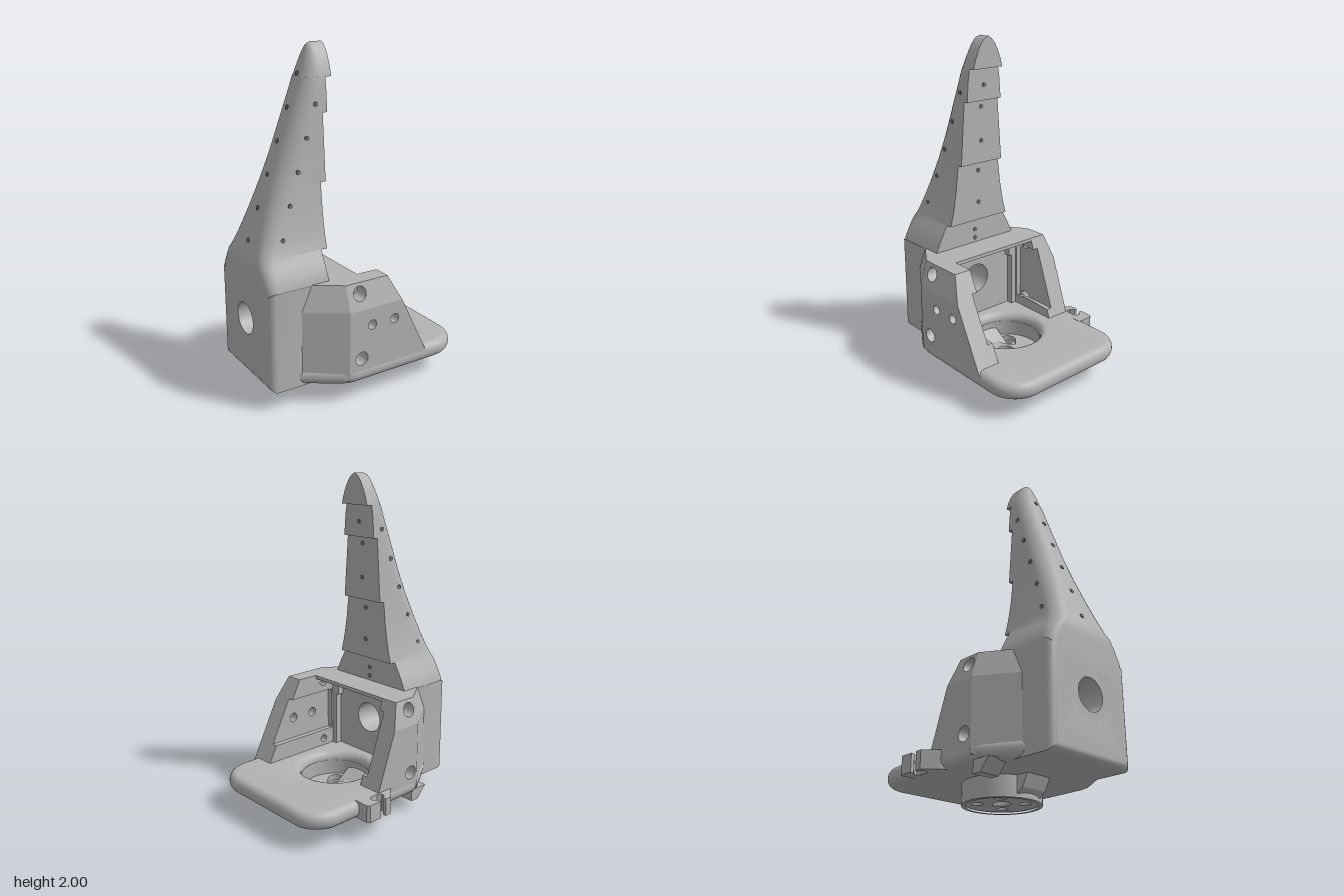
import * as THREE from 'three';
import { toCreasedNormals } from 'three/addons/utils/BufferGeometryUtils.js';

const ZC = 0.035; // the part is symmetric about this z
const plastic = new THREE.MeshStandardMaterial({ color: 0xb2b2b2 });
plastic.name = 'grey plastic';
const bore = new THREE.MeshStandardMaterial({ color: 0x6c6c6c });
bore.name = 'dark bore';

const poly = (pts) => new THREE.Shape(pts.map((p) => new THREE.Vector2(p[0], p[1])));
const circle = (x, y, r, n = 32) => {
  const pts = [];
  for (let i = 0; i < n; i++) {
    const a = (i / n) * Math.PI * 2;
    pts.push(new THREE.Vector2(x + r * Math.cos(a), y + r * Math.sin(a)));
  }
  return new THREE.Path(pts);
};
// circle with a pointed end toward +x
const teardrop = (x, y, r) => {
  const pts = [new THREE.Vector2(x + r * 1.42, y)];
  for (let i = 0; i <= 16; i++) {
    const a = Math.PI / 4 + (i / 16) * Math.PI * 1.5;
    pts.push(new THREE.Vector2(x + r * Math.cos(a), y + r * Math.sin(a)));
  }
  return new THREE.Path(pts);
};
const withHoles = (shape, holes) => { shape.holes.push(...holes); return shape; };
const lerpTable = (t, y) => {
  for (let i = 1; i < t.length; i++) {
    const [a, b] = [t[i - 1], t[i]];
    if (y <= b[0]) return a[1] + ((b[1] - a[1]) * Math.max(0, y - a[0])) / (b[0] - a[0]);
  }
  return t[t.length - 1][1];
};

// Finger: half width, back line and stepped front line by height
const widths = [[0.6, 0.3], [0.72, 0.3], [0.8, 0.262], [0.88, 0.217], [0.94, 0.2], [1.0, 0.187], [1.1, 0.17],
  [1.25, 0.153], [1.63, 0.125], [1.75, 0.116], [1.82, 0.106], [1.87, 0.092], [1.92, 0.072], [1.96, 0.05], [1.985, 0.028], [2, 0.004]];
const backs = [[0.6, -0.62], [0.84, -0.62], [1.94, -0.22], [1.975, -0.205], [1.99, -0.195], [2, -0.175]];
const fronts = [[0.88, -0.242], [1.25, -0.204], [1.63, -0.172], [1.82, -0.143], [2.01, -0.105]];
const halfWidth = (y) => lerpTable(widths, y);
const backX = (y) => lerpTable(backs, y);
const frontX = (y) => fronts.find((f) => y < f[0])[1];

function fingerGeometry() {
  const rows = [];
  const ys = [...new Set([...widths, ...backs].map((p) => p[0]).concat([1.4, 1.5]))].sort((a, b) => a - b);
  for (const y of ys) {
    if (fronts.some((f) => f[0] === y)) rows.push([y, frontX(y - 0.01)]);
    rows.push([y, frontX(y)]);
  }
  const pos = [], idx = [], N = 7, count = 2 * N + 4;
  for (const [y, xf] of rows) {
    const w = halfWidth(y), xb = backX(y);
    const r = Math.min(0.06 + Math.max(0, y - 0.72) * 0.1, w * 0.85, (xf - xb) * 0.7);
    pos.push(xf, y, ZC + w);
    for (const s of [1, -1]) {
      for (let i = 0; i <= N; i++) {
        const a = ((s > 0 ? i : N - i) / N) * Math.PI / 2;
        pos.push(xb + r - r * Math.sin(a), y, ZC + s * (w - r + r * Math.cos(a)));
      }
    }
    pos.push(xf, y, ZC - w);
  }
  for (let i = 0; i < rows.length - 1; i++) {
    for (let j = 0; j < count; j++) {
      const a = i * count + j, b = i * count + ((j + 1) % count);
      idx.push(a, a + count, b, b, a + count, b + count);
    }
  }
  const top = (rows.length - 1) * count;
  for (let j = 1; j < count - 1; j++) idx.push(top, top + j + 1, top + j);
  const g = new THREE.BufferGeometry();
  g.setAttribute('position', new THREE.Float32BufferAttribute(pos, 3));
  g.setIndex(idx);
  return toCreasedNormals(g, 0.55);
}

export function createModel() {
  const group = new THREE.Group();
  const add = (name, geo, mat = plastic) => {
    const m = new THREE.Mesh(geo, mat);
    m.name = name;
    group.add(m);
    return m;
  };
  const extrude = (shape, depth, opts = {}) =>
    new THREE.ExtrudeGeometry(shape, { depth, bevelEnabled: false, curveSegments: 12, ...opts });
  // plan shapes use v = -z and rise from y0
  const upright = (shape, y0, h, opts) => extrude(shape, h, opts).rotateX(-Math.PI / 2).translate(0, y0, 0);

  add('finger', fingerGeometry());

  // Finger base block with a cable hole running front to back
  const blockShape = (r, top) => withHoles(
    poly([[-0.337, 0.12], [0.267, 0.12], [0.267, top], [-0.337, top]]), [circle(-0.035, 0.47, r)]);
  const block = extrude(blockShape(0.095, 0.715), 0.26,
    { bevelEnabled: true, bevelSize: 0.045, bevelThickness: 0.045, bevelOffset: -0.045, bevelSegments: 5 });
  add('fingerBase', toCreasedNormals(block.rotateY(Math.PI / 2).translate(-0.575, 0, 0), 0.5));
  add('fingerBaseFront', extrude(blockShape(0.095, 0.72), 0.1).rotateY(Math.PI / 2).translate(-0.34, 0, 0));
  const liner = [[0.15, 0], [0.095, 0], [0.095, 0.375], [0.15, 0.375], [0.15, 0]].map((p) => new THREE.Vector2(...p));
  add('cableHoleLiner', toCreasedNormals(new THREE.LatheGeometry(liner.reverse(), 32), 0.5)
    .rotateZ(-Math.PI / 2).translate(-0.62, 0.47, ZC)).material = plastic;
  const lid = add('cavityLid', new THREE.BoxGeometry(0.245, 0.022, 0.62));
  lid.position.set(-0.1775, 0.709, ZC);

  // Rounded base plate
  const plan = new THREE.Shape();
  plan.moveTo(-0.44, 0.265);
  plan.lineTo(-0.44, -0.335);
  plan.lineTo(-0.24, -0.465);
  plan.quadraticCurveTo(-0.2, -0.49, -0.14, -0.49);
  plan.lineTo(0.43, -0.49);
  plan.absarc(0.43, -0.3, 0.19, -Math.PI / 2, 0, false);
  plan.lineTo(0.62, 0.24);
  plan.absarc(0.44, 0.24, 0.18, 0, Math.PI / 2, false);
  plan.lineTo(-0.14, 0.42);
  plan.quadraticCurveTo(-0.2, 0.42, -0.24, 0.395);
  plan.holes.push(circle(0.05, -ZC, 0.212, 40));
  add('basePlate', toCreasedNormals(upright(plan, 0.17, 0.005,
    { bevelEnabled: true, bevelSize: 0.045, bevelThickness: 0.05, bevelOffset: -0.045, bevelSegments: 6 }), 0.6));

  // Round socket below the plate, with a drilled floor
  const cup = [[0.2, 0], [0.225, 0], [0.225, 0.121], [0.268, 0.121], [0.255, 0.17], [0.21, 0.17], [0.21, 0.01]]
    .map((p) => new THREE.Vector2(...p));
  add('socketRing', toCreasedNormals(new THREE.LatheGeometry(cup, 40), 0.5).translate(0.05, 0, ZC));
  const floorShape = (r) => {
    const s = new THREE.Shape(circle(0.05, -ZC, 0.213, 40).getPoints());
    s.holes.push(teardrop(0.05, -ZC, 0.052));
    for (const dx of [-0.093, 0.093]) for (const dz of [-0.093, 0.093]) s.holes.push(teardrop(0.05 + dx, -ZC + dz, r));
    return s;
  };
  add('socketFloor', upright(floorShape(0.032), 0.012, 0.03));
  add('socketCounterbores', upright(floorShape(0.054), 0.042, 0.035));

  // Side walls: flat panels, tapering at the top and toward the finger base
  const panel = (name, side, pts, holes, z0, outer) => {
    const g = extrude(withHoles(poly(pts), holes), 1);
    const p = g.attributes.position;
    for (let i = 0; i < p.count; i++) {
      const out = (p.getZ(i) > 0.5) === (side > 0);
      const z = out ? outer(p.getX(i), p.getY(i)) : z0;
      p.setZ(i, side > 0 ? z : 2 * ZC - z);
    }
    g.computeVertexNormals();
    add(name, g);
  };
  const walls = [
    { n: 'left', s: 1, xt: 0.08, xb: 0.33, sx: -0.12, r0: 0.33, r1: 0.6, pins: [-0.05, 0.105] },
    { n: 'right', s: -1, xt: -0.055, xb: 0.125, sx: -0.145, r0: 0.28, r1: 0.65, pins: [] },
  ];
  for (const { n, s, xt, xb, sx, r0, r1, pins } of walls) {
    const edge = (y) => xb + ((xt - xb) * (y - 0.225)) / 0.495;
    const taper = (y) => 0.3 * (y - 0.57);
    const wing = (x) => 0.335 + ((x + 0.43) * 0.155) / 0.23;
    panel(n + 'WallLower', s, [[-0.2, 0.18], [edge(0.18), 0.18], [edge(0.57), 0.57], [-0.2, 0.57]],
      [circle(sx, 0.27, 0.042, 20), ...pins.map((x) => circle(x, 0.465, 0.029, 20))], 0.37, () => 0.487);
    panel(n + 'WallUpper', s, [[-0.2, 0.57], [edge(0.57), 0.57], [xt, 0.72], [-0.2, 0.72]],
      [circle(sx, 0.66, 0.042, 20)], 0.37, (x, y) => 0.487 - taper(y));
    panel(n + 'WingLower', s, [[-0.43, 0.15], [-0.2, 0.15], [-0.2, 0.57], [-0.43, 0.57]], [], 0.3, (x) => wing(x) - 0.003);
    panel(n + 'WingUpper', s, [[-0.43, 0.57], [-0.2, 0.57], [-0.2, 0.72], [-0.4, 0.72], [-0.43, 0.69]],
      [], 0.28, (x, y) => wing(x) - 0.003 - taper(y));
    // inner skin leaves a shallow pocket open at the sloping edge
    panel(n + 'InnerSkin', s, [[-0.26, 0.18], [edge(0.18), 0.18], [edge(r0), r0], [-0.19, r0], [-0.19, r1],
      [edge(r1), r1], [xt, 0.72], [-0.26, 0.72]],
      [teardrop(sx, 0.27, 0.024), teardrop(sx, 0.66, 0.024)], 0.335, () => 0.371);
  }

  // Cable clip on the rear edge of the plate
  add('cableClip', upright(poly([[0.02, 0.4], [0.03, 0.42], [0.105, 0.495], [0.145, 0.495], [0.145, 0.475], [0.12, 0.455],
    [0.12, 0.435], [0.14, 0.42], [0.19, 0.42], [0.21, 0.435], [0.21, 0.455], [0.185, 0.475], [0.185, 0.495],
    [0.268, 0.495], [0.282, 0.48], [0.282, 0.38], [0.02, 0.38]].reverse()), 0.12, 0.105));

  // Small blocks under the plate
  add('underClip', extrude(poly([[-0.31, 0.13], [-0.245, 0.057], [-0.19, 0.057], [-0.19, 0.13]]), 0.125)
    .translate(0, 0, -0.39));
  add('socketGusset', extrude(poly([[-0.24, 0.13], [-0.2, 0.05], [-0.16, 0.02], [0, 0.02], [0, 0.03], [-0.15, 0.13]]), 0.17)
    .translate(0, 0, ZC - 0.085));

  // Thread holes along the finger
  const dot = (len) => new THREE.CylinderGeometry(0.014, 0.014, len, 12);
  for (let i = 0; i < 5; i++) {
    const y = 0.967 + i * 0.178;
    const pin = add('sideThreadHole', dot(2 * halfWidth(y) + 0.006), bore);
    pin.rotation.x = Math.PI / 2;
    pin.position.set(-0.47 + i * 0.064, y, ZC);
  }
  for (let i = 0; i < 6; i++) {
    const y = 0.936 + i * 0.18;
    const pin = add('backThreadHole', dot(0.008), bore);
    pin.rotation.z = Math.PI / 2 - 0.348;
    pin.position.set(backX(y), y, ZC);
  }
  for (const y of [0.75, 0.805, 0.995, 1.195, 1.385, 1.59, 1.72]) {
    const pin = add('frontThreadHole', dot(0.008), bore);
    pin.rotation.z = Math.PI / 2;
    pin.position.set(frontX(y), y, ZC);
  }
  return group;
}
